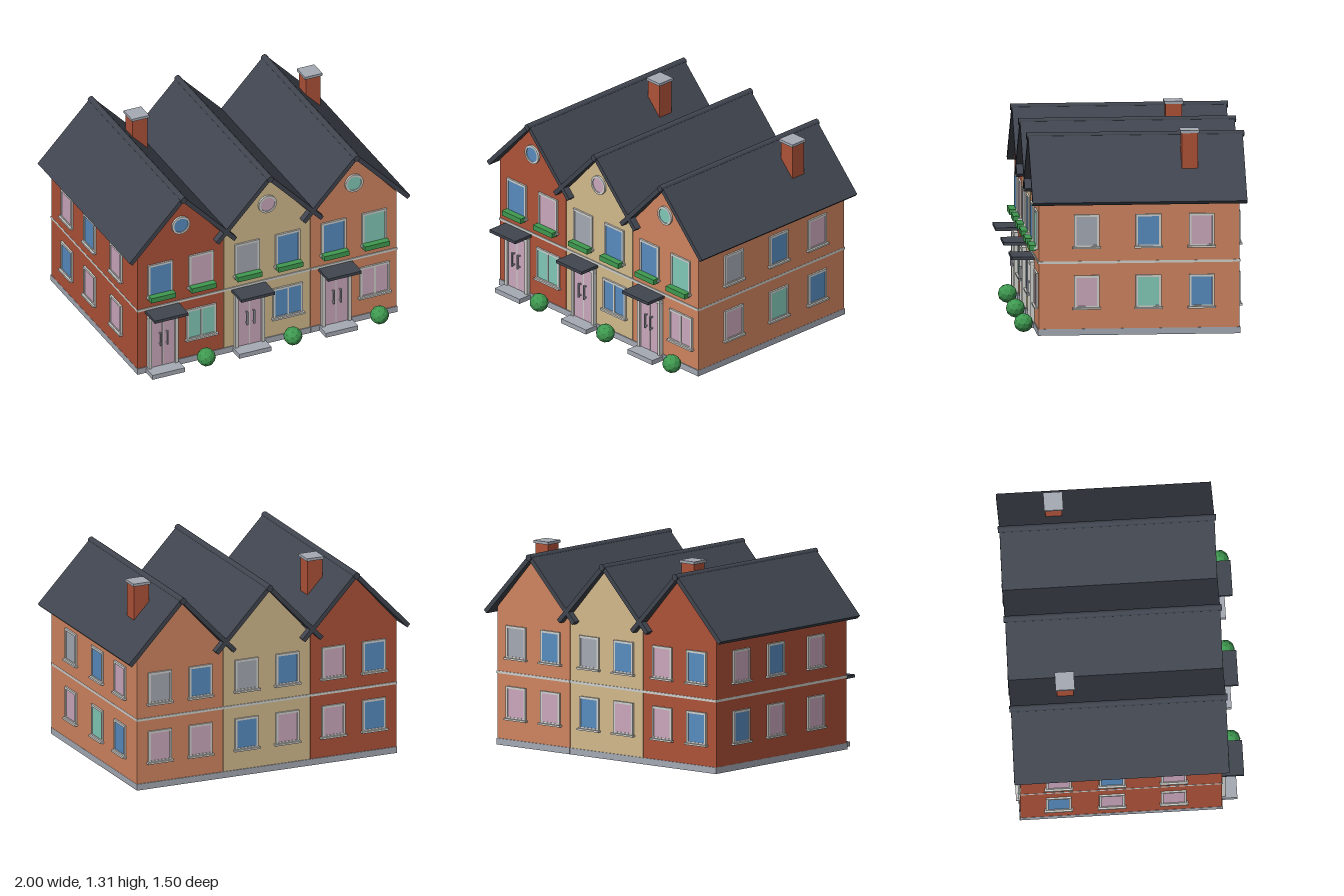
import * as THREE from 'three';

const mat = (name, color) => new THREE.MeshStandardMaterial({ name, color });
const M = {
  red: mat('red brick', 0xae5238),
  cream: mat('cream render', 0xd2ba8c),
  orange: mat('orange brick', 0xd08560),
  roof: mat('slate', 0x40454f),
  frame: mat('pale trim', 0xcfd0cc),
  grey: mat('grey stone', 0xa5aab4),
  blue: mat('blue glass', 0x588cc0),
  pink: mat('pink glass', 0xcba8bd),
  teal: mat('teal glass', 0x82cab8),
  green: mat('leaf green', 0x3f9a50),
};

function add(parent, name, geo, material, x = 0, y = 0, z = 0) {
  const m = new THREE.Mesh(geo, material);
  m.name = name;
  m.position.set(x, y, z);
  parent.add(m);
  return m;
}
const box = (parent, name, material, w, h, d, x, y, z) =>
  add(parent, name, new THREE.BoxGeometry(w, h, d), material, x, y, z);

function group(parent, name, x = 0, y = 0, z = 0, turn = 0) {
  const g = new THREE.Group();
  g.name = name;
  g.position.set(x, y, z);
  g.rotation.y = turn;
  parent.add(g);
  return g;
}

function rect(Type, w, h) {
  return new Type([[-1, -1], [1, -1], [1, 1], [-1, 1]].map(([a, b]) => new THREE.Vector2(a * w / 2, b * h / 2)));
}

// Window facing +z, with its back on the wall at z = 0
function addWindow(parent, x, y, z, turn, w, h, colour, split = false) {
  const g = group(parent, 'window', x, y, z, turn);
  const outline = rect(THREE.Shape, w, h);
  outline.holes.push(rect(THREE.Path, w - 0.03, h - 0.03));
  add(g, 'windowFrame', new THREE.ExtrudeGeometry(outline, { depth: 0.012, bevelEnabled: false }), M.frame);
  box(g, 'windowPane', M[colour], w - 0.03, h - 0.03, 0.008, 0, 0, 0.004);
  if (split) box(g, 'windowMullion', M.frame, 0.012, h - 0.03, 0.012, 0, 0, 0.006);
  box(g, 'windowSill', M.frame, w + 0.018, 0.012, 0.025, 0, -h / 2, 0.0125);
}

// Double front door with surround, handles, canopy and step
function addDoor(parent, x, z) {
  const g = group(parent, 'frontDoor', x, 0, z);
  box(g, 'doorLintel', M.frame, 0.21, 0.025, 0.028, 0, 0.418, 0.014);
  box(g, 'doorDivider', M.frame, 0.008, 0.37, 0.016, 0, 0.22, 0.008);
  for (const s of [-1, 1]) {
    box(g, 'doorPost', M.frame, 0.022, 0.37, 0.028, s * 0.094, 0.22, 0.014);
    box(g, 'doorLeaf', M.pink, 0.079, 0.37, 0.014, s * 0.0435, 0.22, 0.007);
    box(g, 'doorHandle', M.grey, 0.008, 0.1, 0.01, s * 0.025, 0.245, 0.036);
    for (const y of [0.205, 0.285]) box(g, 'handleMount', M.grey, 0.006, 0.008, 0.02, s * 0.025, y, 0.023);
  }
  box(g, 'doorCanopy', M.roof, 0.24, 0.02, 0.15, 0, 0.456, 0.073);
  box(g, 'doorStep', M.grey, 0.23, 0.032, 0.105, 0, 0.016, 0.052);
}

const FRONT = 0.6, BACK = -0.7, MID = -0.05, DEPTH = 1.3, PITCH = 0.618;

function addHouse(parent, x, spec) {
  const g = group(parent, 'house', x);
  const wall = M[spec.wall];

  // Body, plinth and string course
  box(g, 'walls', wall, 0.614, 0.87, DEPTH, 0, 0.465, MID);
  box(g, 'plinth', M.grey, PITCH - 0.001, 0.042, DEPTH + 0.012, 0, 0.021, MID);
  box(g, 'stringCourse', M.frame, PITCH - 0.001, 0.016, DEPTH + 0.012, 0, 0.475, MID);

  // Gable prism beneath the roof
  const gable = new THREE.Shape([[-0.309, 0.9], [0.309, 0.9], [0, 1.24]].map(p => new THREE.Vector2(...p)));
  add(g, 'gable', new THREE.ExtrudeGeometry(gable, { depth: DEPTH, bevelEnabled: false }), wall, 0, 0, BACK);

  // Roof slopes and ridge
  const run = 0.37, rise = 0.39;
  for (const s of [-1, 1]) {
    const slope = box(g, 'roofSlope', M.roof, Math.hypot(run, rise) + 0.01, 0.03, 1.39, s * run / 2, 1.26 - rise / 2, MID);
    slope.rotation.z = -s * Math.atan2(rise, run);
  }
  const ridge = add(g, 'roofRidge', new THREE.CylinderGeometry(0.022, 0.022, 1.41, 12), M.roof, 0, 1.257, MID);
  ridge.rotation.x = Math.PI / 2;

  // Round gable window
  const rim = new THREE.Shape().absarc(0, 0, 0.064, 0, Math.PI * 2);
  rim.holes.push(new THREE.Path().absarc(0, 0, 0.05, 0, Math.PI * 2, true));
  const round = group(g, 'roundWindow', 0, 1.048, FRONT);
  add(round, 'roundFrame', new THREE.ExtrudeGeometry(rim, { depth: 0.014, bevelEnabled: false }), M.frame);
  add(round, 'roundPane', new THREE.CircleGeometry(0.051, 24), M[spec.round], 0, 0, 0.008);

  // Front and back windows, with planters on the upper front
  [-0.145, 0.145].forEach((wx, i) => {
    addWindow(g, wx, 0.68, FRONT, 0, 0.176, 0.24, spec.front[i]);
    box(g, 'planter', M.green, 0.176, 0.035, 0.044, wx, 0.561, FRONT + 0.033);
    addWindow(g, wx, 0.68, BACK, Math.PI, 0.165, 0.215, spec.backUpper[i]);
    addWindow(g, wx, 0.283, BACK, Math.PI, 0.165, 0.215, spec.backLower[i]);
  });
  addWindow(g, 0.147, 0.285, FRONT, 0, 0.212, 0.225, spec.ground, true);
  addDoor(g, -0.132, FRONT);

  // Clipped bush beside the wall
  add(g, 'bush', new THREE.IcosahedronGeometry(0.062, 1), M.green, 0.145, 0.062, 0.685).material.flatShading = true;

  // Chimney through the +x slope
  if (spec.chimney) {
    box(g, 'chimney', M.red, 0.106, 0.28, 0.106, 0.153, 1.155, -0.388);
    box(g, 'chimneyCap', M.grey, 0.124, 0.018, 0.124, 0.153, 1.304, -0.388);
  }
}

export function createModel() {
  const model = new THREE.Group();
  model.name = 'terracedHouses';

  // Back colours run from -x to +x
  const houses = [
    { wall: 'red', front: ['blue', 'pink'], ground: 'teal', round: 'blue', backUpper: ['blue', 'pink'], backLower: ['blue', 'pink'], chimney: true },
    { wall: 'cream', front: ['grey', 'blue'], ground: 'blue', round: 'pink', backUpper: ['blue', 'grey'], backLower: ['pink', 'blue'] },
    { wall: 'orange', front: ['blue', 'teal'], ground: 'pink', round: 'teal', backUpper: ['blue', 'grey'], backLower: ['pink', 'pink'], chimney: true },
  ];
  houses.forEach((spec, i) => addHouse(model, (i - 1) * PITCH, spec));

  // End wall windows, listed front to back
  const ends = [
    { side: 1, upper: ['grey', 'blue', 'pink'], lower: ['pink', 'teal', 'blue'] },
    { side: -1, upper: ['pink', 'blue', 'pink'], lower: ['pink', 'pink', 'blue'] },
  ];
  for (const { side, upper, lower } of ends) {
    [0.29, -0.11, -0.455].forEach((z, i) => {
      addWindow(model, side * 0.925, 0.68, z, side * Math.PI / 2, 0.165, 0.215, upper[i]);
      addWindow(model, side * 0.925, 0.283, z, side * Math.PI / 2, 0.165, 0.215, lower[i]);
    });
  }
  return model;
}
